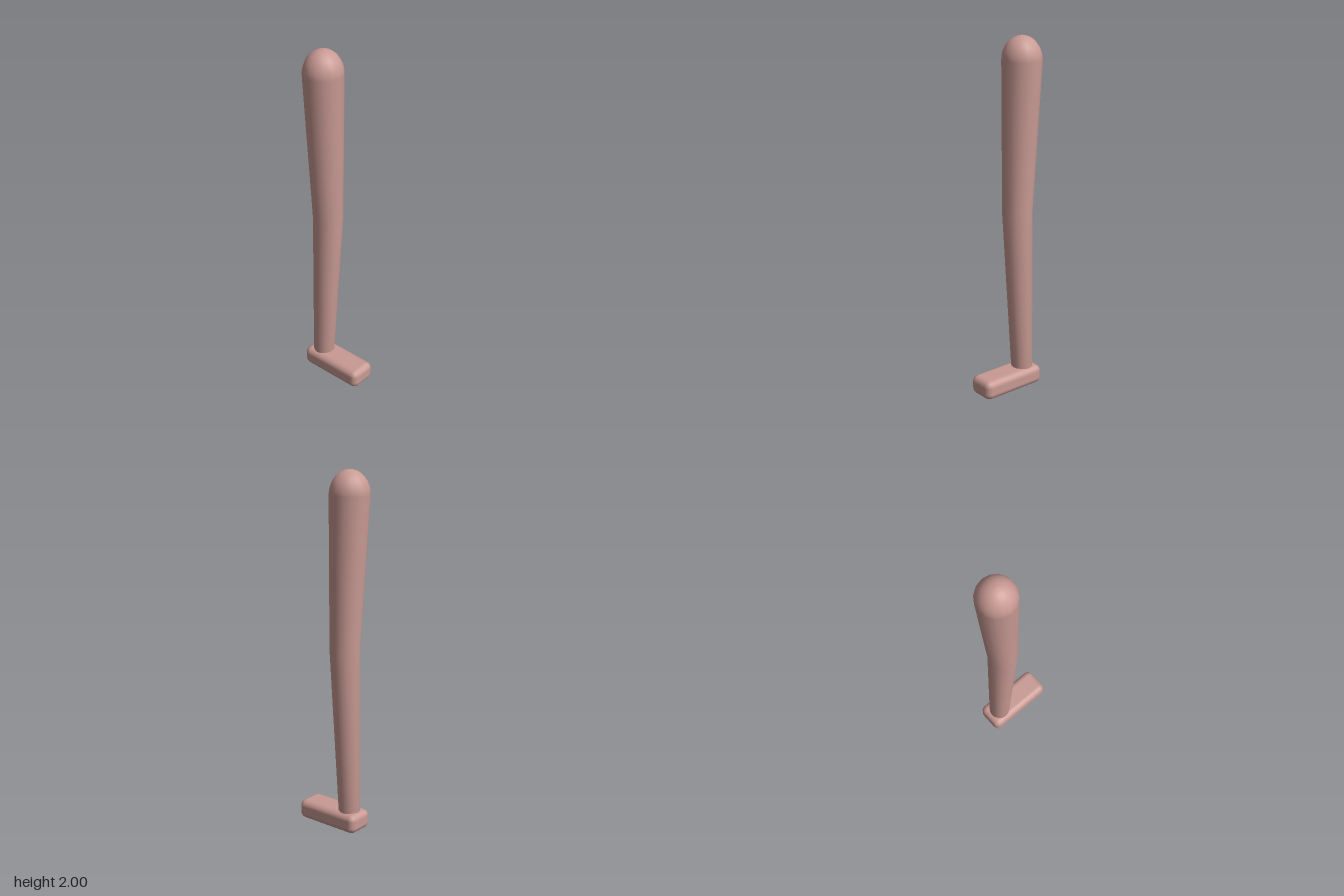
import * as THREE from 'three';
import { RoundedBoxGeometry } from 'three/addons/geometries/RoundedBoxGeometry.js';

export function createModel() {
  const model = new THREE.Group();
  model.name = 'leg';
  const material = new THREE.MeshStandardMaterial({ color: 0xc99a94 });

  const add = (name, geometry) => {
    const mesh = new THREE.Mesh(geometry, material);
    mesh.name = name;
    model.add(mesh);
    return mesh;
  };

  // Limb: tapered shin and thigh, closed by a domed hip
  const hipY = 1.87, hipRadius = 0.109;
  const profile = [[0, 0.08], [0.06, 0.08], [0.083, 1.03], [hipRadius, hipY]]
    .map(([r, y]) => new THREE.Vector2(r, y));
  const domeSteps = 8;
  for (let i = 1; i <= domeSteps; i++) {
    const a = (i / domeSteps) * Math.PI / 2;
    profile.push(new THREE.Vector2(
      i === domeSteps ? 0 : hipRadius * Math.cos(a),
      hipY + (2 - hipY) * Math.sin(a)));
  }
  const limb = new THREE.LatheGeometry(profile, 16);

  // Bend the centre line forward at the knee
  const { lerp, clamp } = THREE.MathUtils;
  const pos = limb.attributes.position;
  for (let i = 0; i < pos.count; i++) {
    const y = pos.getY(i);
    const centre = y < 1.03
      ? lerp(-0.104, -0.067, (y - 0.08) / 0.95)
      : lerp(-0.067, -0.096, clamp((y - 1.03) / (hipY - 1.03), 0, 1));
    pos.setX(i, pos.getX(i) + centre);
  }
  add('thighAndShin', limb);

  // Foot: rounded block with its toe towards +x
  add('foot', new RoundedBoxGeometry(0.395, 0.11, 0.162, 2, 0.036))
    .position.set(0.0075, 0.055, 0);

  return model;
}
